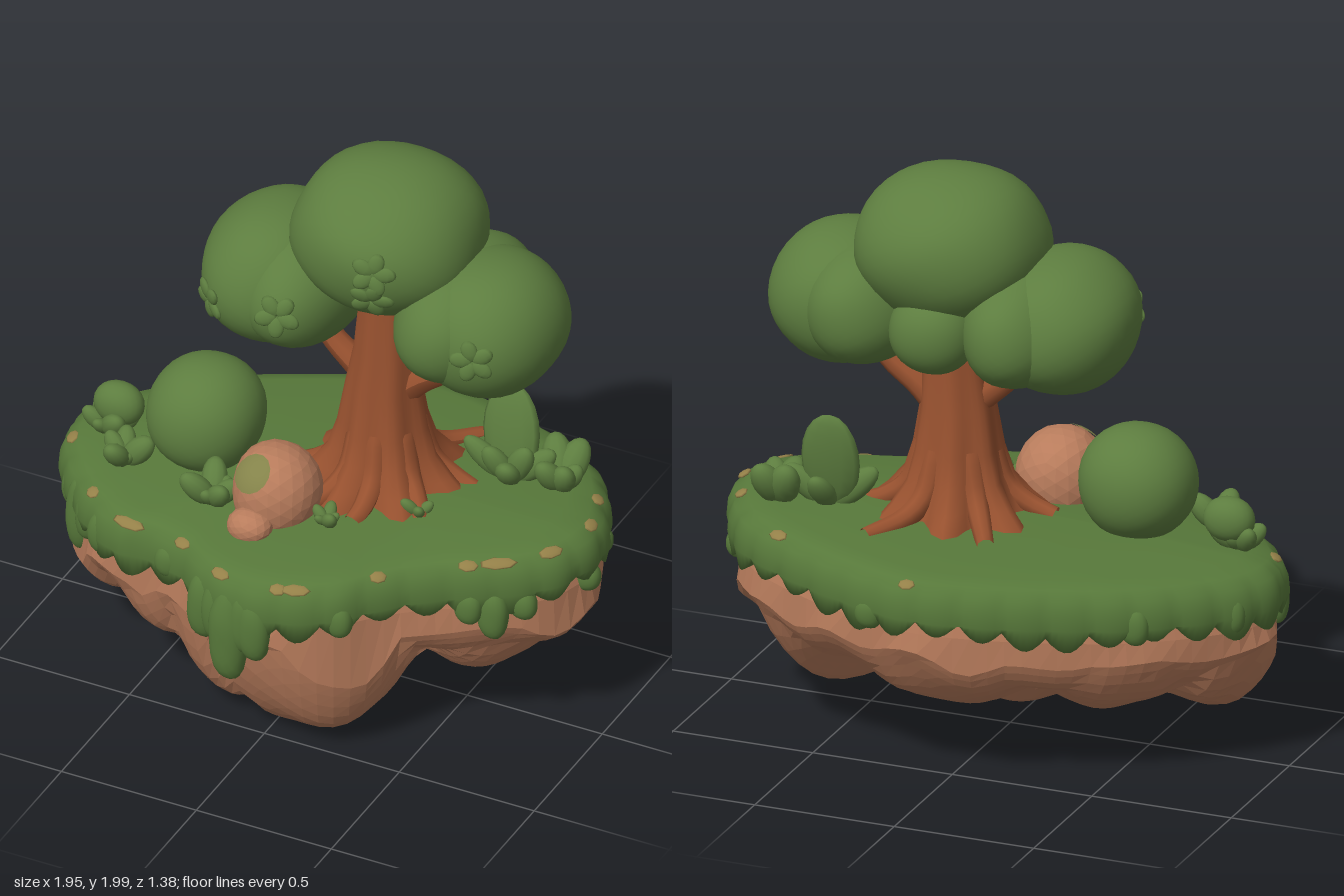
import * as THREE from 'three';
import { mergeVertices } from 'three/addons/utils/BufferGeometryUtils.js';

const V = (x, y, z) => new THREE.Vector3(x, y, z);
const mat = (name, color, side = THREE.FrontSide) => {
  const m = new THREE.MeshStandardMaterial({ color, side });
  m.name = name;
  return m;
};

// Island outline seen from above (x, z), clockwise from the left tip
const OUTLINE = [
  [-0.96, 0.03], [-0.93, -0.1], [-0.81, -0.25], [-0.61, -0.42], [-0.4, -0.53], [-0.15, -0.63], [0.1, -0.68],
  [0.35, -0.63], [0.6, -0.53], [0.8, -0.4], [0.92, -0.2], [0.96, -0.05], [0.9, 0.13], [0.76, 0.25],
  [0.55, 0.36], [0.41, 0.47], [0.3, 0.58], [0.15, 0.65], [0, 0.67], [-0.15, 0.63], [-0.3, 0.54],
  [-0.45, 0.5], [-0.55, 0.5], [-0.7, 0.41], [-0.85, 0.26], [-0.93, 0.14],
];
const rim = new THREE.CatmullRomCurve3(OUTLINE.map(([x, z]) => V(x, 0, z)), true);

// Bulges under the island: x, z, radius in x, radius in z, lowest height
const BULGES = [
  [0.1, 0.29, 0.38, 0.36, 0.005], [-0.18, 0.29, 0.25, 0.28, 0.03], [-0.44, 0.18, 0.28, 0.32, 0.16],
  [-0.68, 0.07, 0.26, 0.32, 0.2], [0.54, -0.1, 0.33, 0.4, 0.165], [0.79, -0.06, 0.18, 0.28, 0.35],
  [0.05, -0.3, 0.45, 0.38, 0.24], [-0.4, -0.15, 0.37, 0.34, 0.23], [0, 0.02, 0.55, 0.36, 0.13],
];
const undersideAt = (x, z, s) => BULGES.reduce((y, [cx, cz, rx, rz, low]) => {
  const d = Math.hypot((x - cx) / rx, (z - cz) / rz);
  return d < 1 ? Math.min(y, 0.58 - (0.58 - low) * (1 - d ** 2.4) ** (1 / 1.8)) : y;
}, 0.56 - 0.27 * Math.sqrt(1 - s ** 4));

// The ground leans down to the left and the front
const tilt = (x, z) => 0.045 * x - 0.06 * Math.max(0, z) - 0.025 * Math.max(0, -z);

const wobble = (p, f) =>
  Math.sin(p.x * f + p.y * 1.7 * f) + Math.sin(p.y * f * 1.3 - p.z * f + 1) + Math.sin(p.z * f * 1.2 + p.x * f * 0.8 + 2);

// Skin over closed loops listed from top to bottom
function loft(rings, flat = false) {
  const n = rings[0].length, index = [];
  for (let i = 0; i < rings.length - 1; i++) {
    for (let j = 0; j < n; j++) {
      const k = (j + 1) % n, a = i * n + j, b = i * n + k, c = a + n, d = b + n;
      index.push(a, b, d, a, d, c);
    }
  }
  let g = new THREE.BufferGeometry().setFromPoints(rings.flat());
  g.setIndex(index);
  if (flat) g = g.toNonIndexed();
  g.computeVertexNormals();
  return g;
}

// Uneven rounded lump; power above 2 makes it boxier
function lump(c, r, { detail = 4, amp = 0.015, freq = 9, power = 2.1, flat = false } = {}) {
  let g = new THREE.IcosahedronGeometry(1, detail);
  g.deleteAttribute('uv');
  g.deleteAttribute('normal');
  g = mergeVertices(g, 1e-4);
  const pos = g.attributes.position, p = V(0, 0, 0), centre = V(...c), size = V(...r);
  for (let i = 0; i < pos.count; i++) {
    p.fromBufferAttribute(pos, i);
    const q = Math.abs(p.x) ** power + Math.abs(p.y) ** power + Math.abs(p.z) ** power;
    p.multiplyScalar(q ** (-1 / power)).multiply(size);
    p.multiplyScalar(1 + amp * wobble(p.clone().add(centre), freq)).add(centre);
    pos.setXYZ(i, p.x, p.y, p.z);
  }
  if (flat) g = g.toNonIndexed();
  g.computeVertexNormals();
  return g;
}

// Tube that narrows from r0 to r1
function taper(points, r0, r1) {
  const curve = new THREE.CatmullRomCurve3(points), rows = 10, sides = 9;
  const g = new THREE.TubeGeometry(curve, rows, 1, sides, false), pos = g.attributes.position, p = V(0, 0, 0);
  for (let i = 0; i < pos.count; i++) {
    const t = Math.floor(i / (sides + 1)) / rows, c = curve.getPointAt(t);
    p.fromBufferAttribute(pos, i).sub(c).multiplyScalar(r0 + (r1 - r0) * t).add(c);
    pos.setXYZ(i, p.x, p.y, p.z);
  }
  g.computeVertexNormals();
  return g;
}

export function createModel() {
  const model = new THREE.Group();
  const grass = mat('grass green', 0x57783a), leafGreen = mat('leaf green', 0x5d7d3f);
  const rock = mat('clay rock', 0xb87c5c), bark = mat('bark brown', 0x97512f, THREE.DoubleSide);
  const dry = mat('dry grass', 0x948048), moss = mat('moss', 0x84834a);
  const add = (name, geo, material, parent = model) => {
    const m = new THREE.Mesh(geo, material);
    m.name = name;
    parent.add(m);
    return m;
  };
  const group = (name) => {
    const g = new THREE.Group();
    g.name = name;
    model.add(g);
    return g;
  };

  // Rock: steep wall, then a bulging underside drawn in ring by ring
  const coarse = rim.getSpacedPoints(84).slice(0, -1);
  const wall = [[0.66, 0.93], [0.56, 0.965]].map(([y, s]) => coarse.map((p) => V(p.x * s, y + 0.04 * p.x, p.z * s)));
  const under = [0.975, 0.955, 0.925, 0.885, 0.84, 0.79, 0.735, 0.675, 0.61, 0.54, 0.46, 0.37, 0.28, 0.18, 0.09, 0].map((s) =>
    coarse.map((p) => {
      const q = V(p.x * s, 0, p.z * s);
      q.multiplyScalar(1 + 0.006 * wobble(q, 17));
      q.y = Math.max(0, undersideAt(q.x, q.z, s) + 0.009 * wobble(q, 19) + 0.03 * q.x * s);
      return q;
    }));
  add('islandRock', loft([...wall, ...under], true), rock);

  // Grass cap with a scalloped hem
  const fine = rim.getSpacedPoints(240).slice(0, -1);
  const hem = (j) => 0.615 - 0.05 * Math.abs(Math.sin((j * Math.PI) / 7)) - 0.018 * Math.sin(j * 0.19);
  const cap = [[0, 0.785], [0.5, 0.782], [0.85, 0.772], [0.94, 0.755], [0.98, 0.725], [1, 0.68], [1.005, 0.63], [0.99, 0], [0.92, 0.03]];
  add('grassCap', loft(cap.map(([s, y], i) => fine.map((p, j) => {
    const k = s * (1 + (i > 3 ? 0.01 * Math.abs(Math.sin((j * Math.PI) / 7)) : 0));
    return V(p.x * k, (i > 6 ? hem(j) + y : y) + tilt(p.x * s, p.z * s), p.z * k);
  }))), grass);

  // Point of the rim at an angle turning from +x towards +z
  const rimAt = (deg) => {
    const d = V(Math.cos((deg * Math.PI) / 180), 0, Math.sin((deg * Math.PI) / 180));
    return fine.reduce((best, p) => (p.clone().normalize().dot(d) > best.clone().normalize().dot(d) ? p : best));
  };

  // Longer hanging tufts: angle, lowest height, half width
  const tufts = group('hangingGrass');
  [
    [106, 0.41, 0.06], [101, 0.43, 0.05], [96, 0.31, 0.068], [91, 0.43, 0.05], [86, 0.41, 0.058],
    [173, 0.47, 0.045], [165, 0.5, 0.045], [160, 0.39, 0.05], [154, 0.48, 0.045], [147, 0.5, 0.05],
    [24, 0.53, 0.05], [19, 0.47, 0.055], [13, 0.54, 0.05], [-2, 0.56, 0.05], [125, 0.54, 0.05],
    [62, 0.53, 0.05], [190, 0.52, 0.05], [212, 0.53, 0.05], [290, 0.55, 0.05], [345, 0.56, 0.05],
  ].forEach(([a, low, w]) => {
    const p = rimAt(a), mid = (0.66 + low) / 2;
    add('tuft', lump([p.x * 0.965, mid, p.z * 0.965], [w, 0.66 - mid, w * 0.8],
      { detail: 3, amp: 0.02, freq: 25, power: 2.3 }), grass, tufts);
  });

  // Dry patches lying on the shoulder of the cap: angle, half length
  const patches = group('dryPatches');
  [[8, 0.045], [18, 0.065], [24, 0.035], [48, 0.03], [74, 0.05], [80, 0.03], [100, 0.04], [120, 0.035], [137, 0.065],
    [152, 0.03], [172, 0.035], [279, 0.03], [322, 0.04], [346, 0.03], [355, 0.035]].forEach(([a, len]) => {
    const p = rimAt(a), t = rimAt(a + 2).clone().sub(rimAt(a - 2)).normalize();
    const up = V(-t.z * 0.5, 1, t.x * 0.5);
    if (up.x * p.x + up.z * p.z < 0) up.set(-up.x, 1, -up.z);
    up.normalize();
    const m = add('dryPatch', new THREE.SphereGeometry(1, 7, 6), dry, patches);
    m.quaternion.setFromRotationMatrix(new THREE.Matrix4().makeBasis(t, up, t.clone().cross(up)));
    m.scale.set(len, 0.008, 0.024);
    m.position.set(p.x * 0.962, 0.745 + tilt(p.x, p.z), p.z * 0.962);
  });

  // Trunk with a fluted, flaring foot
  const tree = group('tree'), tx = 0.17, tz = -0.045;
  const trunkProfile = [[1.62, 0.08, 0], [1.5, 0.09, 0.02], [1.3, 0.107, 0.03], [1.15, 0.125, 0.04],
    [1, 0.148, 0.06], [0.9, 0.172, 0.1], [0.83, 0.215, 0.16], [0.76, 0.27, 0.22]];
  add('trunk', loft(trunkProfile.map(([y, r, f]) => Array.from({ length: 42 }, (_, j) => {
    const a = (j / 42) * Math.PI * 2, k = r * (1 + f * Math.cos(7 * a));
    return V(tx + (y > 1.2 ? 0.01 : 0) + k * Math.cos(a), y, tz + k * Math.sin(a));
  }))), bark, tree);

  // Roots: heading in degrees, reach
  [[-70, 0.4], [-18, 0.32], [32, 0.29], [77, 0.29], [112, 0.34], [162, 0.33], [225, 0.36]].forEach(([deg, out]) => {
    const a = (deg * Math.PI) / 180;
    const at = (r, y, turn = 0) => V(tx + r * Math.cos(a + turn), y, tz + r * Math.sin(a + turn));
    add('root', taper([at(0.1, 1), at(0.16, 0.86), at(0.24, 0.8, 0.06), at(out, 0.77, 0.13)], 0.048, 0.03), bark, tree);
  });
  add('leftBranch', taper([V(0.2, 1.1, tz), V(0.3, 1.2, tz), V(0.4, 1.27, tz), V(0.5, 1.38, tz)], 0.06, 0.037), bark, tree);
  add('rightBranch', taper([V(0.16, 1.12, tz), V(0.06, 1.2, tz), V(-0.02, 1.27, tz), V(-0.1, 1.38, tz)], 0.055, 0.033), bark, tree);

  // Crown of rounded leaf masses: outer masses, then the inner ones between them
  const top = [[0.17, 1.735, -0.09], [0.325, 0.265, 0.325]];
  const leftMass = [[0.56, 1.5, -0.07], [0.245, 0.24, 0.28]], rightMass = [[-0.22, 1.5, -0.05], [0.245, 0.24, 0.3]];
  [top, leftMass, rightMass, [[-0.1, 1.5, -0.07], [0.2, 0.215, 0.345]], [[0.45, 1.51, -0.09], [0.21, 0.215, 0.325]],
    [[0.16, 1.49, -0.27], [0.15, 0.15, 0.14]]].forEach(([c, r]) =>
    add('leafMass', lump(c, r, { detail: 6, amp: 0.009, freq: 12 }), leafGreen, tree));

  // Small leaf rosettes lying on the front of the crown
  const rosette = ([c, r], x, y) => {
    const dx = (x - c[0]) / r[0], dy = (y - c[1]) / r[1], dz = Math.sqrt(Math.max(0, 1 - dx * dx - dy * dy));
    const g = new THREE.Group();
    g.name = 'leafRosette';
    g.position.set(x, y, c[2] + dz * r[2]);
    g.lookAt(g.position.clone().add(V(dx / r[0], dy / r[1], dz / r[2])));
    for (let i = 0; i < 5; i++) {
      const a = i * 1.257 + x * 5, m = add('rosetteLeaf', new THREE.SphereGeometry(1, 10, 8), leafGreen, g);
      m.scale.set(0.04, 0.028, 0.014);
      m.position.set(0.04 * Math.cos(a), 0.04 * Math.sin(a), 0.004);
      m.rotation.z = a;
    }
    tree.add(g);
  };
  rosette(rightMass, -0.35, 1.47);
  rosette([[-0.1, 1.5, -0.07], [0.2, 0.215, 0.345]], -0.07, 1.53);
  rosette(top, 0.26, 1.77);
  rosette(top, 0.25, 1.66);
  rosette(leftMass, 0.62, 1.52);

  // Plump leaf growing from a base point along a direction
  const leaf = (parent, base, dir, len, w, thick) => {
    const m = add('leaf', new THREE.SphereGeometry(1, 12, 10), leafGreen, parent);
    m.scale.set(w, len / 2, thick);
    m.quaternion.setFromUnitVectors(V(0, 1, 0), dir.normalize());
    m.position.copy(base).addScaledVector(dir, len / 2);
  };
  const sprout = (name, x, y, z, n, len, lean) => {
    const g = group(name);
    for (let i = 0; i < n; i++) {
      const a = (i / n) * Math.PI * 2 + x * 7, l = len * (0.8 + 0.25 * Math.sin(i * 2.7 + 1));
      leaf(g, V(x, y, z), V(lean * Math.cos(a), 1, lean * Math.sin(a)), l, l * 0.3, l * 0.25);
    }
  };
  const plant = group('broadLeafPlant'), foot = V(0.56, 0.78, -0.2);
  leaf(plant, foot, V(-0.07, 1, -0.18), 0.35, 0.105, 0.035);
  [[-0.9, 0.15, 0.21], [-0.4, 0.3, 0.16], [0.4, 0.1, 0.17], [0.9, -0.2, 0.2], [0.2, 0.7, 0.14], [0.1, -0.7, 0.17]]
    .forEach(([x, z, l]) => leaf(plant, foot, V(x, 0.8, z), l, 0.045, 0.035));
  sprout('edgeSprout', 0.73, 0.78, -0.23, 6, 0.18, 0.7);
  sprout('bushSprout', -0.28, 0.75, 0.32, 7, 0.15, 0.9);
  sprout('smallSprout', 0.12, 0.76, 0.28, 5, 0.09, 1);
  sprout('rootSprout', 0.38, 0.78, 0.12, 4, 0.08, 1);
  sprout('leftSprout', -0.66, 0.73, 0.22, 7, 0.14, 0.9);
  sprout('farSprout', -0.79, 0.73, 0.08, 6, 0.14, 1);

  // Round bushes
  add('roundBush', lump([-0.43, 0.915, 0.07], [0.2, 0.195, 0.2], { detail: 5, amp: 0.01 }), leafGreen);
  add('smallBush', lump([-0.76, 0.835, 0.06], [0.09, 0.078, 0.065], { detail: 3, amp: 0.01 }), leafGreen);

  // Boulders with a moss patch
  add('boulder', lump([-0.08, 0.82, 0.25], [0.15, 0.165, 0.155], { detail: 3, amp: 0.015, freq: 14, flat: true }), rock);
  add('smallBoulder', lump([-0.1, 0.76, 0.41], [0.08, 0.06, 0.07], { detail: 2, amp: 0.03, freq: 20, flat: true }), rock);
  const mossPatch = add('mossPatch', new THREE.SphereGeometry(1, 14, 4, 0, Math.PI * 2, 0, 0.45), moss);
  mossPatch.scale.set(0.158, 0.172, 0.163);
  mossPatch.rotation.set(0.75, 0, 0.25);
  mossPatch.position.set(-0.08, 0.82, 0.25);
  return model;
}
